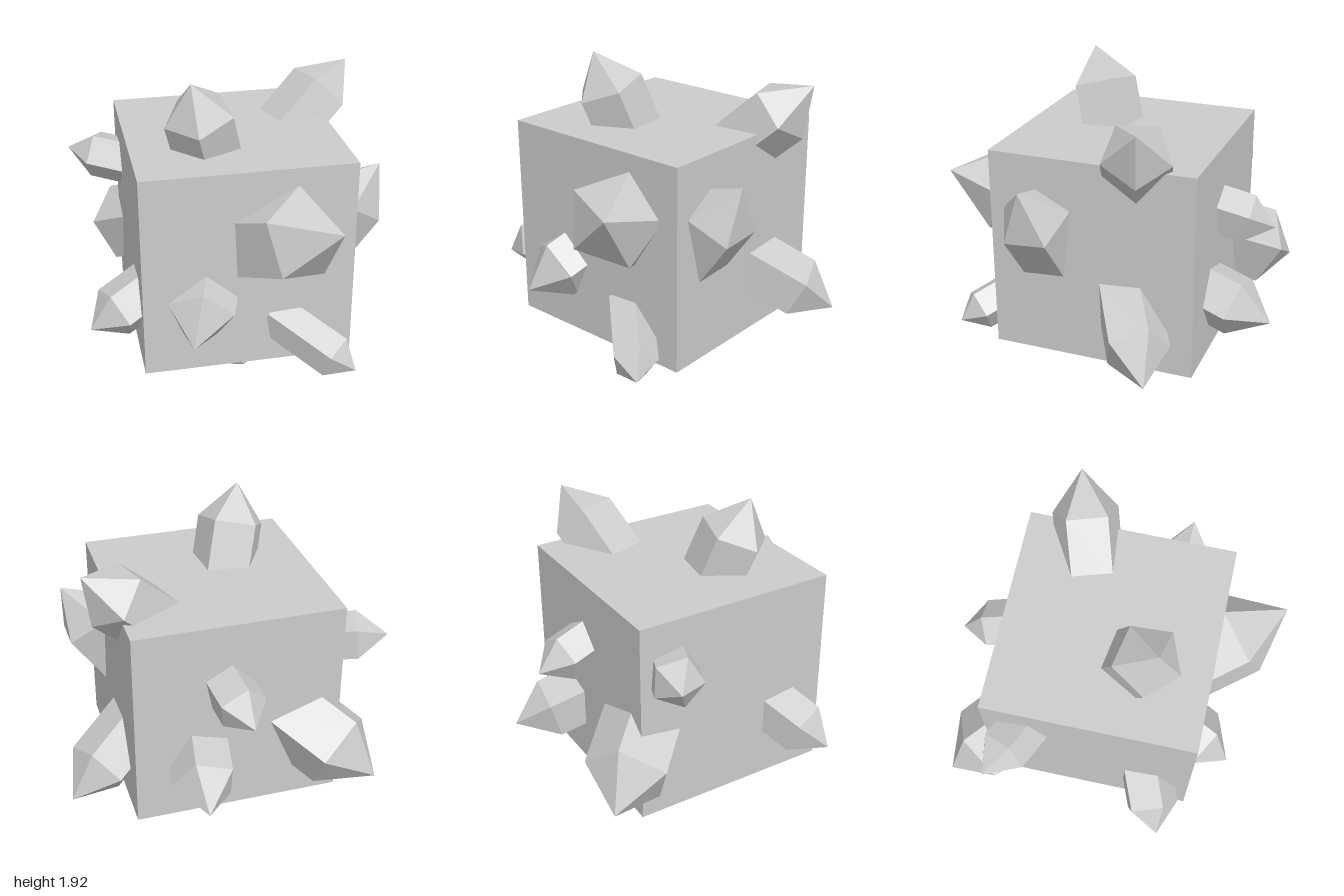
import * as THREE from 'three';

const ROOT_DEPTH = 0.45; // how far each crystal runs back into the block

// Crystals: centre of the shoulder ring, tip, and one shoulder corner
const CRYSTALS = [
  // top
  ['topCrystal', [-0.246, 1.705, 0.255], [-0.30, 1.92, 0.32], [-0.45, 1.66, 0.275]],
  ['topEdgeCrystal', [0.62, 1.60, -0.29], [0.80, 1.77, -0.35], [0.60, 1.55, -0.49]],
  // front
  ['largeFrontCrystal', [0.243, 1.14, 0.742], [0.41, 1.255, 0.995], [0.097, 0.98, 0.92]],
  ['mediumFrontCrystal', [-0.32, 0.63, 0.645], [-0.39, 0.53, 0.84], [-0.133, 0.66, 0.725]],
  ['smallFrontCrystal', [0.455, 0.35, 0.82], [0.55, 0.30, 0.91], [0.47, 0.23, 0.755]],
  // +x side
  ['leftUpperCrystal', [0.66, 1.138, 0.325], [0.82, 1.355, 0.34], [0.80, 1.04, 0.19]],
  ['leftLowerCrystal', [0.768, 0.474, -0.344], [0.955, 0.355, -0.455], [0.915, 0.56, -0.24]],
  // -x side
  ['rightUpperCrystal', [-0.80, 1.21, -0.48], [-0.96, 1.235, -0.55], [-0.868, 1.20, -0.344]],
  ['rightLowerCrystal', [-0.79, 0.575, 0.425], [-0.945, 0.51, 0.49], [-0.82, 0.725, 0.50]],
  // back
  ['backCornerCrystal', [-0.63, 0.58, -0.705], [-0.795, 0.47, -0.885], [-0.84, 0.66, -0.58]],
  ['backUpperCrystal', [0.012, 1.045, -0.775], [-0.015, 1.0, -0.94], [-0.14, 1.07, -0.78]],
  ['backLowerCrystal', [0.23, 0.57, -0.785], [0.265, 0.51, -1.0], [0.42, 0.57, -0.755]],
  // underside
  ['bottomCrystal', [-0.079, 0.178, 0.274], [-0.25, 0.002, 0.245], [0.055, 0.055, 0.22]],
];

// Five-sided prism with a pointed end, aimed from its shoulder to its tip
function makeCrystal(name, shoulder, tip, corner, material) {
  const c = new THREE.Vector3(...shoulder);
  const axis = new THREE.Vector3(...tip).sub(c);
  const pointLength = axis.length();
  axis.normalize();
  const radial = new THREE.Vector3(...corner).sub(c).projectOnPlane(axis);
  const radius = radial.length();
  radial.normalize();
  const side = new THREE.Vector3().crossVectors(axis, radial);

  const profile = [
    [0, -ROOT_DEPTH], [radius, -ROOT_DEPTH], [radius, 0], [0, pointLength],
  ].map(([x, y]) => new THREE.Vector2(x, y));
  const geometry = new THREE.LatheGeometry(profile, 5);
  geometry.applyMatrix4(new THREE.Matrix4().makeBasis(side, axis, radial).setPosition(c));

  const mesh = new THREE.Mesh(geometry, material);
  mesh.name = name;
  return mesh;
}

export function createModel() {
  const model = new THREE.Group();
  model.name = 'crystalBlock';
  const material = new THREE.MeshStandardMaterial({ color: 0xcccccc, flatShading: true });

  // Stone block
  const block = new THREE.Mesh(new THREE.BoxGeometry(1.25, 1.25, 1.25), material);
  block.name = 'block';
  block.position.set(-0.025, 0.875, 0);
  model.add(block);

  // Crystals growing out of every side
  for (const [name, shoulder, tip, corner] of CRYSTALS) {
    model.add(makeCrystal(name, shoulder, tip, corner, material));
  }
  return model;
}
